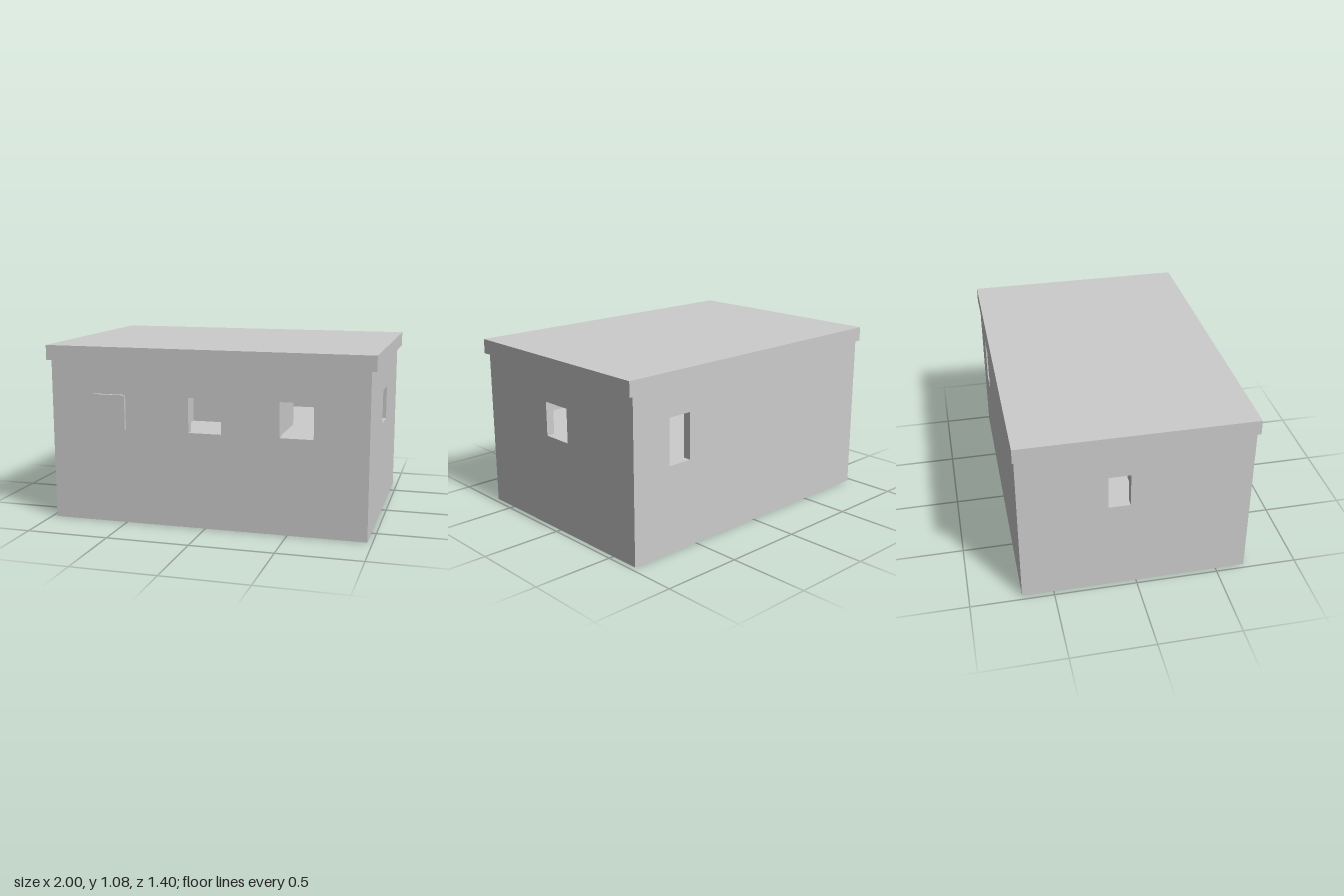
import * as THREE from 'three';

const concrete = new THREE.MeshStandardMaterial({ color: 0xcccccc });
concrete.name = 'concrete';

const THICK = 0.05;
const X = 0.97, BACK = -0.69, FRONT = 0.68;
const FLOOR = 0.53, CEILING = 0.87, TOP = 0.985;

// Box given by its limits on each axis
function block(name, x0, x1, y0, y1, z0, z1) {
  const mesh = new THREE.Mesh(new THREE.BoxGeometry(x1 - x0, y1 - y0, z1 - z0), concrete);
  mesh.position.set((x0 + x1) / 2, (y0 + y1) / 2, (z0 + z1) / 2);
  mesh.name = name;
  return mesh;
}

// Flat wall from u0 to u1 with rectangular openings [left, right, bottom, top]
function wall(name, u0, u1, y0, y1, openings) {
  const rect = (path, a, b, c, d) =>
    path.moveTo(a, c).lineTo(b, c).lineTo(b, d).lineTo(a, d).lineTo(a, c);
  const shape = rect(new THREE.Shape(), u0, u1, y0, y1);
  for (const o of openings) shape.holes.push(rect(new THREE.Path(), ...o));
  const geo = new THREE.ExtrudeGeometry(shape, { depth: THICK, bevelEnabled: false });
  const mesh = new THREE.Mesh(geo, concrete);
  mesh.name = name;
  return mesh;
}

export function createModel() {
  const model = new THREE.Group();
  model.name = 'blockhouse';

  // Outer walls
  const front = wall('frontWall', -X, X, 0, TOP, [
    [-0.1, 0.1, 0.58, 0.79],
    [0.45, 0.65, 0.58, 0.79],
  ]);
  front.position.z = FRONT - THICK;

  const back = wall('backWall', -X, X, 0, TOP, [[0.55, 0.708, FLOOR, 0.813]]);
  back.position.z = BACK;

  // Side walls: the shape's horizontal axis becomes -z
  const sides = [
    ['leftWall', X - THICK, [-0.095, 0.105, 0.58, 0.79]],
    ['rightWall', -X, [0.04, 0.17, 0.58, 0.79]],
  ].map(([name, x, opening]) => {
    const side = wall(name, -FRONT + THICK, -BACK - THICK, 0, TOP, [opening]);
    side.rotation.y = Math.PI / 2;
    side.position.x = x;
    return side;
  });
  model.add(front, back, ...sides);

  // Solid base with a raised floor, and the ceiling
  const xi = X - THICK, zb = BACK + THICK, zf = FRONT - THICK;
  model.add(block('raisedFloor', -xi, xi, 0, FLOOR, zb, zf));
  model.add(block('ceiling', -xi, xi, CEILING, TOP, zb, zf));

  // Inner partitions: a corridor wall with doorways and two cross walls
  const corridor = wall('corridorWall', -xi, 0.39, FLOOR, CEILING, [
    [-0.65, -0.49, FLOOR + 0.001, 0.813],
    [-0.055, 0.105, FLOOR + 0.001, 0.813],
  ]);
  corridor.position.z = 0.015;
  model.add(corridor);
  for (const x of [-0.27, 0.39]) {
    model.add(block('crossWall', x - THICK, x, FLOOR, CEILING, 0.065, zf));
  }

  // Shutter over the third front opening
  model.add(block('shutter', -0.695, -0.495, 0.58, 0.79, FRONT, 0.7));

  // Overhanging roof slab
  model.add(block('roofSlab', -1, 1, TOP, 1.075, -0.7, 0.69));

  return model;
}
